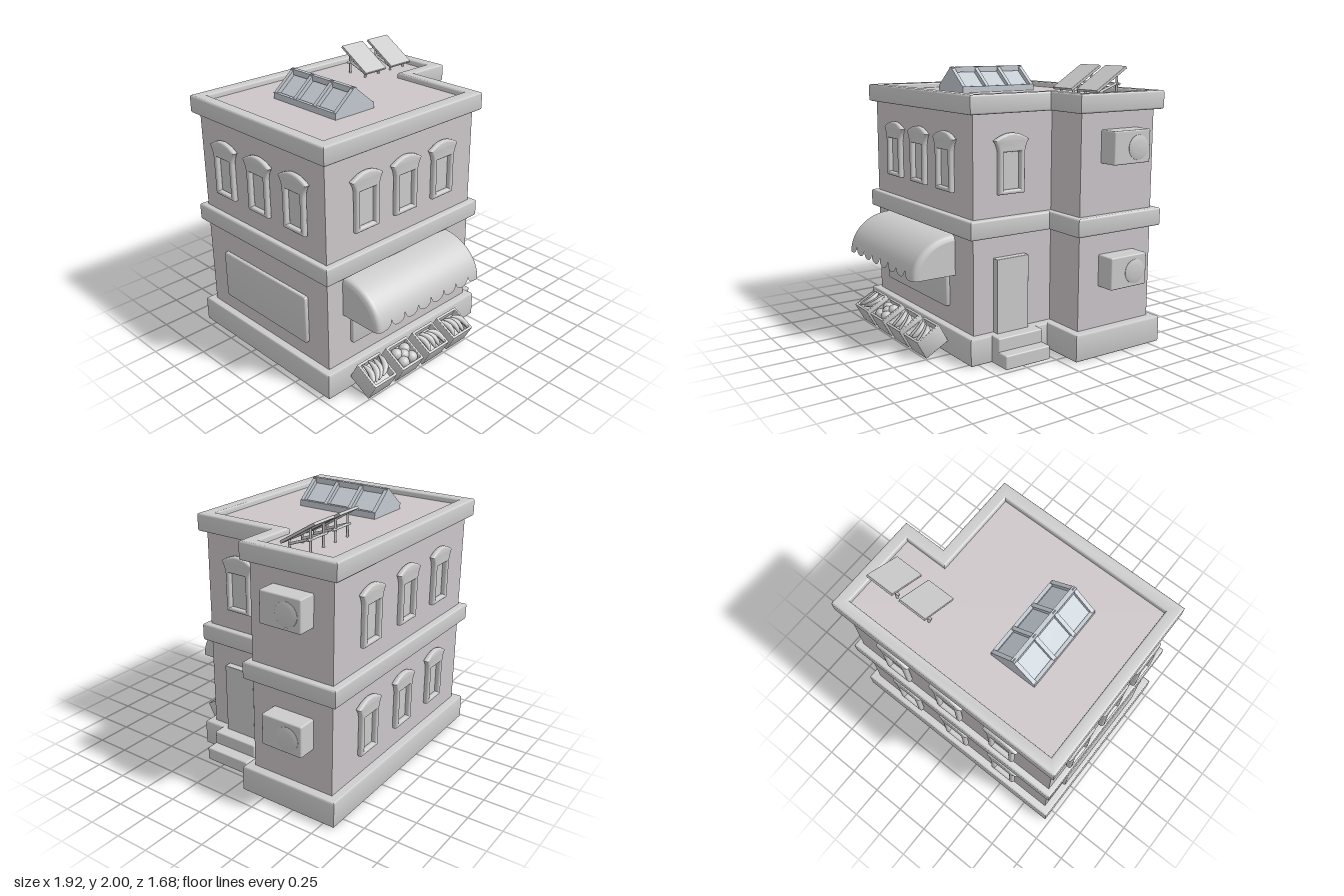
import * as THREE from 'three';
import { toCreasedNormals } from 'three/addons/utils/BufferGeometryUtils.js';
import { RoundedBoxGeometry } from 'three/addons/geometries/RoundedBoxGeometry.js';

const grey = new THREE.MeshStandardMaterial({ color: 0xcccccc });
const thin = new THREE.MeshStandardMaterial({ color: 0xcccccc, side: THREE.DoubleSide });
const wallPaint = new THREE.MeshStandardMaterial({ color: 0xccc6c9 });
const bluish = new THREE.MeshStandardMaterial({ color: 0xc2c9d0 });

function add(parent, name, geometry, x = 0, y = 0, z = 0, material = grey) {
  const mesh = new THREE.Mesh(geometry, material);
  mesh.name = name;
  mesh.position.set(x, y, z);
  parent.add(mesh);
  return mesh;
}

// Extrusion whose bevel stays inside the given outline and depth
function extrude(shape, depth, bevel) {
  const g = new THREE.ExtrudeGeometry(shape, {
    depth: depth - 2 * bevel, bevelEnabled: bevel > 0, bevelThickness: bevel,
    bevelSize: bevel, bevelOffset: -bevel, bevelSegments: 3, curveSegments: 10,
  });
  g.translate(0, 0, bevel);
  return toCreasedNormals(g, 0.7);
}

// L-shaped plan: the front right corner is notched
function plan(x0, xNotch, x1, z0, zNotch, z1, Type = THREE.Shape) {
  const pts = [[x0, z1], [xNotch, z1], [xNotch, zNotch], [x1, zNotch], [x1, z0], [x0, z0]];
  return new Type(pts.map(([x, z]) => new THREE.Vector2(x, -z)));
}

function storey(parent, name, shape, y0, y1, bevel, material) {
  const g = extrude(shape, y1 - y0, bevel).rotateX(-Math.PI / 2);
  return add(parent, name, g, 0, y0, 0, material);
}

// Flared, arched window; origin at the sill centre on the wall plane, facing +z
function makeWindow() {
  const s = new THREE.Shape();
  s.moveTo(-0.105, 0);
  s.lineTo(0.105, 0);
  s.lineTo(0.105, 0.275);
  s.quadraticCurveTo(0.11, 0.33, 0.14, 0.365);
  s.quadraticCurveTo(0, 0.46, -0.14, 0.365);
  s.quadraticCurveTo(-0.11, 0.33, -0.105, 0.275);
  s.closePath();
  const hole = [[-0.07, 0.03], [-0.07, 0.285], [0.07, 0.285], [0.07, 0.03]];
  s.holes.push(new THREE.Path(hole.map((p) => new THREE.Vector2(...p))));
  const win = new THREE.Group();
  win.name = 'window';
  add(win, 'windowFrame', extrude(s, 0.042, 0.014));
  add(win, 'windowPane', new THREE.PlaneGeometry(0.16, 0.28), 0, 0.16, 0.004);
  return win;
}

function roundedRect(w, h, r) {
  const s = new THREE.Shape(), x = w / 2 - r, y = h / 2 - r;
  s.absarc(x, y, r, 0, Math.PI / 2);
  s.absarc(-x, y, r, Math.PI / 2, Math.PI);
  s.absarc(-x, -y, r, Math.PI, 1.5 * Math.PI);
  s.absarc(x, -y, r, 1.5 * Math.PI, 2 * Math.PI);
  return s;
}

// Quarter-round awning with rounded ends and a scalloped hem
function makeAwning() {
  const awning = new THREE.Group();
  awning.name = 'awning';
  const W = 1.03, R = 0.04, D = 0.33, H = 0.285, N = 8;
  const g = new THREE.PlaneGeometry(1, 1, 160, 16);
  const p = g.attributes.position;
  for (let i = 0; i < p.count; i++) {
    const u = p.getX(i) + 0.5, v = 0.5 - p.getY(i);
    const past = Math.max(0, Math.abs(u - 0.5) * W - (W / 2 - R));
    const inset = R - Math.sqrt(Math.max(0, R * R - past * past));
    const s = u * N, f = s < 0.5 || s > N - 0.5 ? 0 : 2 * (s % 1) - 1;
    const lift = 0.055 * (1 - Math.sqrt(1 - f * f));
    const a = v * Math.acos(lift / H);
    p.setXYZ(i, (u - 0.5) * W, (H - inset) * Math.cos(a), (D - inset) * Math.sin(a));
  }
  g.computeVertexNormals();
  add(awning, 'awningCloth', g, 0, 0, 0, thin);
  const end = new THREE.Shape();
  end.moveTo(0, 0);
  end.lineTo(D - R, 0);
  end.absellipse(0, 0, D - R, H - R, 0, Math.PI / 2);
  end.closePath();
  for (const side of [-1, 1]) {
    add(awning, 'awningEnd', new THREE.ShapeGeometry(end).rotateY(-Math.PI / 2), side * W / 2, 0, 0, thin);
  }
  awning.position.set(-0.26, 0.57, 0.51);
  return awning;
}

// Tilted open crate with either long curved fruit or round fruit
function makeCrate(round, lean) {
  const crate = new THREE.Group();
  crate.name = 'crate';
  const w = 0.21, h = 0.15, d = 0.2, t = 0.018;
  const box = roundedRect(w, d, 0.006);
  const hole = roundedRect(w - 2 * t, d - 2 * t, 0.004);
  box.holes.push(new THREE.Path(hole.getPoints(3)));
  add(crate, 'crateSides', extrude(box, h, 0.004).rotateX(-Math.PI / 2), 0, -h / 2, 0);
  add(crate, 'crateFloor', new THREE.BoxGeometry(w - t, 0.09, d - t), 0, -0.029, 0);
  if (round) {
    for (const [x, z] of [[-0.045, -0.03], [0.04, -0.035], [-0.04, 0.045], [0.045, 0.04], [0, 0]]) {
      add(crate, 'roundFruit', new THREE.SphereGeometry(0.042, 16, 12), x, 0.05, z);
    }
  } else {
    for (let i = 0; i < 4; i++) {
      const g = new THREE.SphereGeometry(1, 12, 16).scale(0.022, 0.08, 0.022);
      const p = g.attributes.position;
      for (let k = 0; k < p.count; k++) p.setX(k, p.getX(k) - 5 * p.getY(k) ** 2);
      g.computeVertexNormals();
      const fruit = add(crate, 'longFruit', g.rotateX(Math.PI / 2), -0.05 + i * 0.042, 0.058 + 0.01 * (i % 2), 0);
      fruit.rotation.set(0.12, lean * (0.2 + 0.1 * i), 0);
    }
  }
  crate.rotation.x = 0.5;
  return crate;
}

function makeSkylight() {
  const sky = new THREE.Group();
  sky.name = 'skylight';
  const gable = (w, eave, peak) => new THREE.Shape([[-w, 0], [w, 0], [w, eave], [0, peak], [-w, eave]]
    .map((q) => new THREE.Vector2(...q)));
  const L = 0.635, t = 0.028;
  add(sky, 'skylightGlass', extrude(gable(0.16, 0.015, 0.145), L - 0.02, 0), 0, 0, -L / 2 + 0.01, bluish);
  for (let i = 0; i < 4; i++) {
    add(sky, 'skylightRib', extrude(gable(0.175, 0.04, 0.185), t, 0), 0, 0, -L / 2 + i * (L - t) / 3, bluish);
  }
  add(sky, 'skylightRidge', new THREE.BoxGeometry(0.03, 0.04, L), 0, 0.162, 0, bluish);
  for (const side of [-1, 1]) {
    add(sky, 'skylightEave', new THREE.BoxGeometry(0.025, 0.045, L), side * 0.1625, 0.0225, 0, bluish);
  }
  sky.position.set(-0.335, 1.79, -0.1375);
  return sky;
}

function makeSolarPanel() {
  const solar = new THREE.Group();
  solar.name = 'solarPanel';
  add(solar, 'panel', new RoundedBoxGeometry(0.215, 0.02, 0.305, 2, 0.004), 0, 0.119, 0).rotation.x = 0.555;
  const leg = (name, h, x, z) => add(solar, name, new THREE.CylinderGeometry(0.009, 0.009, h, 8), x, h / 2, z);
  for (const x of [-0.07, 0.07]) {
    leg('backLeg', 0.165, x, -0.075);
    leg('frontLeg', 0.065, x, 0.085);
    const brace = leg('sideBrace', 0.17, x, 0);
    brace.position.y = 0.06;
    brace.rotation.x = Math.PI / 2 + 0.35;
  }
  const bar = leg('crossBar', 0.2, 0, -0.075);
  bar.position.y = 0.085;
  bar.rotation.z = Math.PI / 2;
  return solar;
}

export function createModel() {
  const model = new THREE.Group();
  model.name = 'shopBuilding';

  // Plinth, walls, middle band and roof parapet
  storey(model, 'plinth', plan(-0.965, 0.545, 0.875, -0.84, -0.075, 0.565), 0, 0.195, 0.014);
  storey(model, 'walls', plan(-0.91, 0.49, 0.81, -0.78, -0.135, 0.51), 0.18, 1.79, 0, wallPaint);
  const outer = () => plan(-0.95, 0.535, 0.86, -0.83, -0.09, 0.555);
  storey(model, 'middleBand', outer(), 0.87, 1.0, 0.014);
  const ring = outer();
  ring.holes.push(plan(-0.865, 0.45, 0.775, -0.745, -0.18, 0.46, THREE.Path));
  storey(model, 'parapet', ring, 1.7, 1.83, 0.014);

  // Windows: x, sill height, z, turn
  const windows = [[0.49, 1.155, 0.22, Math.PI / 2]];
  for (const x of [-0.575, -0.21, 0.16]) windows.push([x, 1.155, 0.51, 0]);
  for (const z of [-0.5, -0.13, 0.24]) windows.push([-0.91, 1.155, z, -Math.PI / 2]);
  for (const x of [-0.51, -0.05, 0.41]) {
    for (const y of [0.355, 1.155]) windows.push([x, y, -0.78, Math.PI]);
  }
  for (const [x, y, z, turn] of windows) {
    const win = makeWindow();
    win.position.set(x, y, z);
    win.rotation.y = turn;
    model.add(win);
  }

  // Shop windows on the front and left
  const shopWindow = () => extrude(roundedRect(0.9, 0.365, 0.02), 0.033, 0.01);
  add(model, 'frontShopWindow', shopWindow(), -0.265, 0.508, 0.51);
  add(model, 'sideShopWindow', shopWindow(), -0.91, 0.508, -0.13).rotation.y = -Math.PI / 2;
  model.add(makeAwning());

  // Door and steps
  add(model, 'door', new RoundedBoxGeometry(0.07, 0.54, 0.26, 2, 0.005), 0.506, 0.45, 0.22);
  add(model, 'upperStep', new RoundedBoxGeometry(0.13, 0.195, 0.37, 2, 0.01), 0.563, 0.0975, 0.2125);
  add(model, 'lowerStep', new RoundedBoxGeometry(0.2, 0.1, 0.37, 2, 0.01), 0.617, 0.05, 0.2125);

  // Cooling units with a shallow domed fan cover
  for (const y of [0.605, 1.468]) {
    add(model, 'coolingUnit', new RoundedBoxGeometry(0.145, 0.228, 0.32, 2, 0.01), 0.873, y, -0.47);
    const profile = [[0.085, 0], [0.085, 0.006], [0.045, 0.012], [0, 0.014]].map((q) => new THREE.Vector2(...q));
    add(model, 'fanCover', new THREE.LatheGeometry(profile, 32), 0.945, y - 0.005, -0.52).rotation.z = -Math.PI / 2;
  }

  // Roof fittings
  model.add(makeSkylight());
  for (const x of [0.3625, 0.6325]) {
    const solar = makeSolarPanel();
    solar.position.set(x, 1.79, -0.452);
    model.add(solar);
  }

  // Fruit crates leaning on the plinth
  [-0.665, -0.395, -0.125, 0.14].forEach((x, i) => {
    const crate = makeCrate(i === 1, i === 0 ? -1 : 1);
    crate.position.set(x, 0.117, 0.69);
    model.add(crate);
  });
  return model;
}
